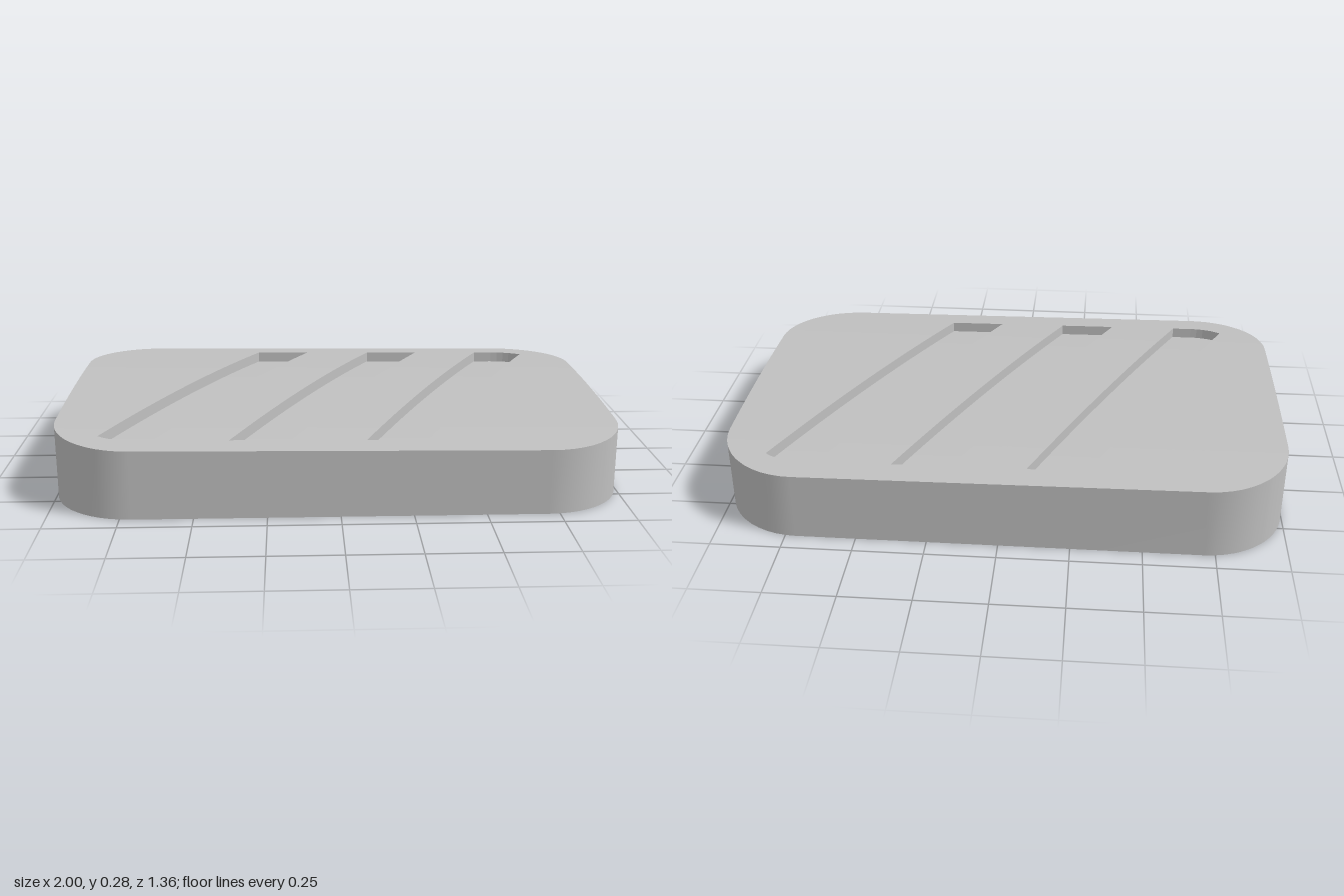
import * as THREE from 'three';

const CX = 0.71, CZ = 0.39;        // corner arc centres
const R = 0.29, INSET_R = 0.195;   // outline and slot-limit corner radii
const END = CZ + INSET_R;          // slots stop at z = +-END
const SLOT_DEPTH = 0.04, SLOT_HALF = 0.1055, SLOT_PITCH = 0.47, SLANT = 0.465;
const HOLE_R = 0.196, HOLE_DEPTH = 0.14, HOLE_X = 0.665;

// Domed top: arched along z, falling gently towards +x
const topY = (x, z) => 0.269 - 0.009 * x - 0.0516 * (z + 0.12) ** 2;

// Half width of a rounded rectangle at depth z
function halfWidth(z, r) {
  const d = Math.min(Math.max(Math.abs(z) - CZ, 0), r);
  return CX + Math.sqrt(Math.max(r * r - d * d, 0));
}

// z rows shared by every part, denser round the corners
function makeRows() {
  const set = new Set();
  const add = (z) => set.add(+z.toFixed(5));
  for (let i = -10; i <= 10; i++) add(CZ * i / 10);
  for (let i = 1; i <= 12; i++) {
    const s = Math.sin(Math.PI / 2 * i / 12);
    for (const r of [R, INSET_R]) { add(CZ + r * s); add(-CZ - r * s); }
  }
  return [...set].sort((a, b) => a - b);
}

// Surface between two point lists, facing (b - a) x (next - a)
function strip(a, b, closed = false, flat = false) {
  const n = a.length, index = [];
  for (let i = 0; i < (closed ? n : n - 1); i++) {
    const j = (i + 1) % n;
    index.push(i, n + i, j, n + i, n + j, j);
  }
  let g = new THREE.BufferGeometry().setFromPoints([...a, ...b]);
  g.setIndex(index);
  if (flat) g = g.toNonIndexed();
  g.computeVertexNormals();
  return g;
}

export function createModel() {
  const model = new THREE.Group();
  model.name = 'pedalPad';
  const grey = new THREE.MeshStandardMaterial({ color: 0xc0c0c0 });
  grey.name = 'light grey';
  const add = (name, geometry) => {
    const mesh = new THREE.Mesh(geometry, grey);
    mesh.name = name;
    model.add(mesh);
    return mesh;
  };

  const rows = makeRows();
  const inner = rows.filter((z) => Math.abs(z) <= END + 1e-4);
  const back = rows.filter((z) => z <= -END + 1e-4);
  const front = rows.filter((z) => z >= END - 1e-4);

  // Points along an x(z) curve, on the top or sunk below it
  const curve = (zs, xOf, sink = 0) => zs.map((z) => {
    const x = xOf(z);
    return new THREE.Vector3(x, topY(x, z) - sink, z);
  });
  const rightEdge = (z) => halfWidth(z, R);
  const leftEdge = (z) => -halfWidth(z, R);

  // Slanted slots, trimmed by the inset rounded rectangle
  const slots = [-1, 0, 1].map((k) => ({
    left: (z) => Math.max(k * SLOT_PITCH - SLOT_HALF - SLANT * z, -halfWidth(z, INSET_R)),
    right: (z) => Math.min(k * SLOT_PITCH + SLOT_HALF - SLANT * z, halfWidth(z, INSET_R)),
  }));
  const reversed = [...inner].reverse();
  for (const { left, right } of slots) {
    add('slotFloor', strip(curve(inner, right, SLOT_DEPTH), curve(inner, left, SLOT_DEPTH)));
    const loop = (sink) => [...curve(inner, left, sink), ...curve(reversed, right, sink)];
    add('slotWall', strip(loop(SLOT_DEPTH), loop(0), true, true));
  }

  // Top surface: bands between the slots, then both end bands
  const edges = [leftEdge, ...slots.flatMap((s) => [s.left, s.right]), rightEdge];
  for (let i = 0; i < edges.length; i += 2) {
    add('topBand', strip(curve(inner, edges[i + 1]), curve(inner, edges[i])));
  }
  for (const zs of [back, front]) {
    add('topEnd', strip(curve(zs, rightEdge), curve(zs, leftEdge)));
  }

  // Outer wall
  const rim = [...curve(rows, rightEdge), ...curve([...rows].reverse(), leftEdge)];
  const foot = rim.map((p) => new THREE.Vector3(p.x, 0, p.z));
  add('outerWall', strip(foot, rim, true));

  // Underside with two blind round holes
  const shape = new THREE.Shape(foot.map((p) => new THREE.Vector2(p.x, p.z)));
  for (const x of [-HOLE_X, HOLE_X]) {
    const ring = (y) => Array.from({ length: 48 }, (_, i) => {
      const t = -i / 48 * Math.PI * 2;
      return new THREE.Vector3(x + HOLE_R * Math.cos(t), y, HOLE_R * Math.sin(t));
    });
    shape.holes.push(new THREE.Path(ring(0).map((p) => new THREE.Vector2(p.x, p.z))));
    add('holeWall', strip(ring(0), ring(HOLE_DEPTH), true));
    const cap = add('holeCeiling', new THREE.CircleGeometry(HOLE_R, 48).rotateX(Math.PI / 2));
    cap.position.set(x, HOLE_DEPTH, 0);
  }
  add('underside', new THREE.ShapeGeometry(shape).rotateX(Math.PI / 2));

  return model;
}
